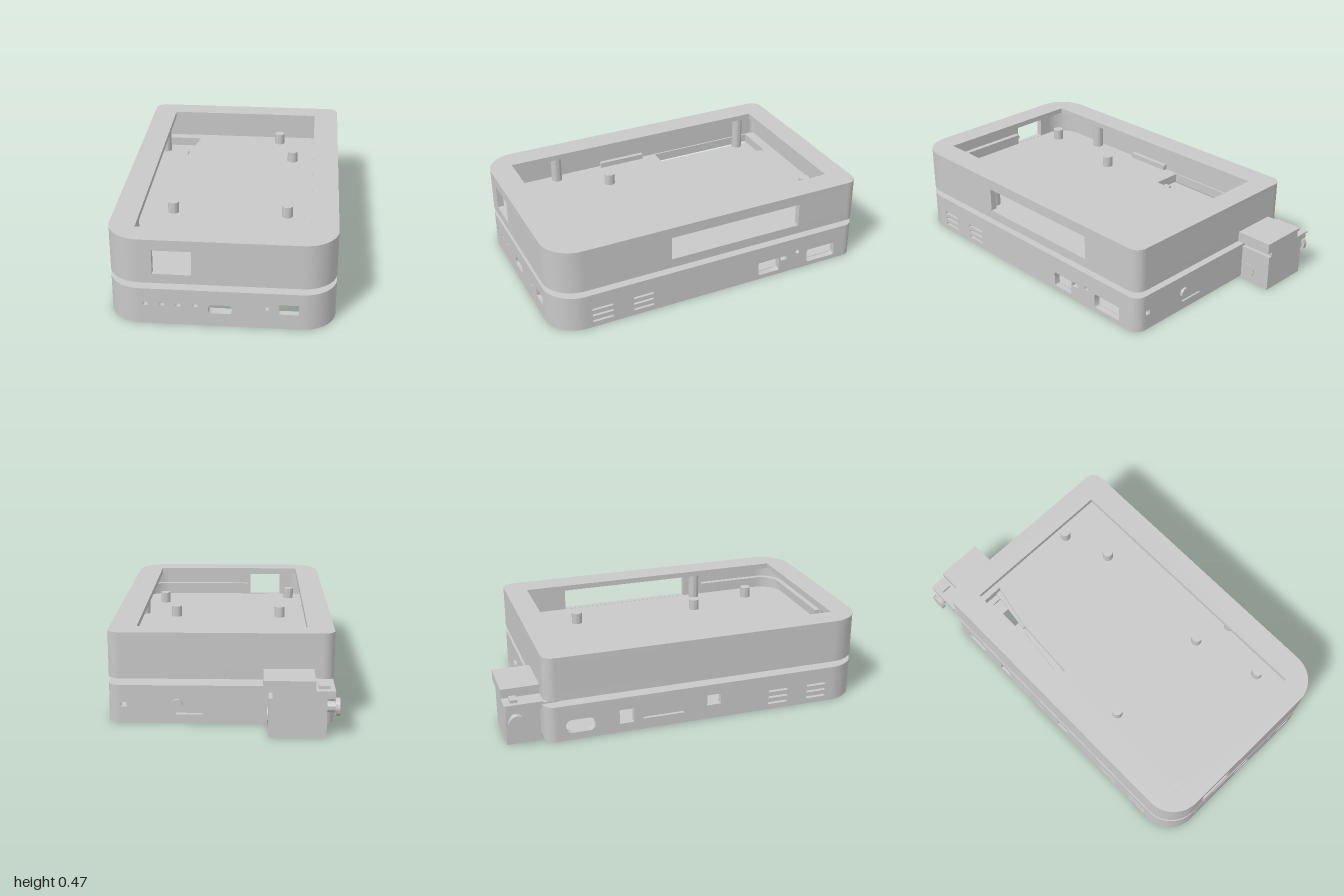
import * as THREE from 'three';
import { toCreasedNormals } from 'three/addons/utils/BufferGeometryUtils.js';

const X0 = -0.565, X1 = 0.58, Z0 = -0.795, Z1 = 1; // case outline
const RF = 0.17, RB = 0.06, T = 0.035;             // front and back corner radii, wall thickness

export function createModel() {
  const model = new THREE.Group();
  model.name = 'deviceCase';
  const grey = new THREE.MeshStandardMaterial({ color: 0xc8c8c8 });
  grey.name = 'plain grey';

  const add = (parent, name, geo) => {
    const m = new THREE.Mesh(geo, grey);
    m.name = name;
    parent.add(m);
    return m;
  };
  const box = (parent, name, x0, x1, y0, y1, z0, z1) => {
    const m = add(parent, name, new THREE.BoxGeometry(x1 - x0, y1 - y0, z1 - z0));
    m.position.set((x0 + x1) / 2, (y0 + y1) / 2, (z0 + z1) / 2);
    return m;
  };
  const post = (parent, name, x, z, y0, y1, r = 0.03) => {
    const m = add(parent, name, toCreasedNormals(new THREE.CylinderGeometry(r, r, y1 - y0, 28), 0.6));
    m.position.set(x, (y0 + y1) / 2, z);
    return m;
  };
  // round part lying along x or z
  const disc = (parent, name, axis, r, len, x, y, z) => {
    const m = post(parent, name, x, z, y - len / 2, y + len / 2, r);
    if (axis === 'x') m.rotation.z = Math.PI / 2; else m.rotation.x = Math.PI / 2;
    return m;
  };

  // rectangle with separate radii at the high and low end of its second axis
  function rounded(C, x0, x1, y0, y1, rHigh, rLow = rHigh) {
    const s = new C(), q = Math.PI / 2;
    s.moveTo(x0 + rLow, y0);
    s.lineTo(x1 - rLow, y0);
    if (rLow) s.absarc(x1 - rLow, y0 + rLow, rLow, -q, 0, false);
    s.lineTo(x1, y1 - rHigh);
    if (rHigh) s.absarc(x1 - rHigh, y1 - rHigh, rHigh, 0, q, false);
    s.lineTo(x0 + rHigh, y1);
    if (rHigh) s.absarc(x0 + rHigh, y1 - rHigh, rHigh, q, 2 * q, false);
    s.lineTo(x0, y0 + rLow);
    if (rLow) s.absarc(x0 + rLow, y0 + rLow, rLow, 2 * q, 3 * q, false);
    return s;
  }
  const poly = (C, pts) => new C(pts.map(([x, y]) => new THREE.Vector2(x, y)));
  const circle = (x, y, r) => new THREE.Path().absarc(x, y, r, 0, Math.PI * 2, false);
  const extrude = (shape, depth) => toCreasedNormals(
    new THREE.ExtrudeGeometry(shape, { depth, bevelEnabled: false, curveSegments: 16 }), 0.6);

  // horizontal plate drawn in x and z
  function slab(parent, name, shape, y0, y1, holes = []) {
    shape.holes.push(...holes);
    const m = add(parent, name, extrude(shape, y1 - y0));
    m.rotation.x = Math.PI / 2;
    m.position.y = y1;
    return m;
  }
  // four pierced walls and four rounded corners
  function walls(parent, y0, y1, cut) {
    const wall = (name, u0, u1, holes = []) => {
      const s = rounded(THREE.Shape, u0, u1, y0, y1, 0);
      for (const [a, b, c, d, r = 0] of holes) s.holes.push(rounded(THREE.Path, a, b, c, d, r));
      return add(parent, name, extrude(s, T));
    };
    wall('frontWall', X0 + RF, X1 - RF, cut.front).position.z = Z1 - T;
    wall('backWall', X0 + RB, X1 - RB, cut.back).position.z = Z0;
    for (const [name, x, holes] of [['leftWall', X1, cut.left], ['rightWall', X0 + T, cut.right]]) {
      const m = wall(name, Z0 + RB, Z1 - RF, holes);
      m.rotation.y = -Math.PI / 2;
      m.position.x = x;
    }
    const q = Math.PI / 2;
    for (const [x, z, r, a] of [[X1 - RF, Z1 - RF, RF, 0], [X0 + RF, Z1 - RF, RF, q],
      [X0 + RB, Z0 + RB, RB, 2 * q], [X1 - RB, Z0 + RB, RB, 3 * q]]) {
      const s = new THREE.Shape();
      s.absarc(x, z, r, a, a + q, false);
      s.absarc(x, z, r - T, a + q, a, true);
      slab(parent, 'corner', s, y0, y1);
    }
  }
  const outline = () => rounded(THREE.Shape, X0, X1, Z0, Z1, RF, RB);

  // lower tray
  const tray = new THREE.Group();
  tray.name = 'lowerTray';
  model.add(tray);
  const vents = [];
  for (const z of [0.45, 0.68]) for (const y of [0.03, 0.066, 0.102]) vents.push([z, z + 0.115, y, y + 0.012]);
  walls(tray, 0.015, 0.185, {
    front: [...[-0.37, -0.287, -0.205, -0.12, 0.235].map(x => [x - 0.012, x + 0.012, 0.104, 0.121, 0.007]),
      [-0.055, 0.065, 0.072, 0.12, 0.02], [0.3, 0.395, 0.083, 0.137]],
    back: [[0.485, 0.515, 0.085, 0.11], [0.1, 0.24, 0.045, 0.055]],
    left: [...vents, [-0.31, -0.18, 0.025, 0.105, 0.008], [-0.36, -0.32, 0.082, 0.105],
      [-0.44, -0.415, 0.1, 0.122, 0.01], [-0.67, -0.49, 0.025, 0.105, 0.012]],
    right: [...vents, [-0.69, -0.53, 0.04, 0.115, 0.035], [-0.4, -0.32, 0.05, 0.13],
      [-0.27, -0.04, 0.06, 0.07], [0.09, 0.17, 0.08, 0.14]],
  });
  // lid with a small opening under the floor slot
  slab(tray, 'trayLid', outline(), 0.185, 0.2, [rounded(THREE.Path, -0.36, -0.3, -0.68, -0.49, 0)]);
  // base with the front bay, a recess and screw holes
  const bay = rounded(THREE.Path, X0 + T, X1 - T, 0.37, 0.86, 0);
  const recess = poly(THREE.Path, [[0.42, 0.2], [0.42, -0.62], [-0.2, -0.62], [-0.2, -0.66],
    [-0.37, -0.66], [-0.37, -0.3], [-0.32, -0.3], [-0.32, 0.2]]);
  const screws = [[-0.5, -0.73], [0.51, -0.73], [-0.4, 0.92], [0.42, 0.92]].map(([x, z]) => circle(x, z, 0.015));
  slab(tray, 'base', outline(), 0, 0.015, [bay, recess, ...screws]);
  slab(tray, 'recessPanel', rounded(THREE.Shape, X0 + T, X1 - T, Z0 + T, 0.37, 0), 0.015, 0.028,
    [poly(THREE.Path, [[-0.2, -0.62], [-0.2, -0.4], [-0.28, -0.27], [-0.36, -0.3], [-0.36, -0.66], [-0.24, -0.66]])]);
  post(tray, 'bayPost', -0.44, 0.8, 0.015, 0.08, 0.035);
  disc(tray, 'backButton', 'z', 0.028, 0.05, 0.23, 0.1, Z0 + 0.01);

  // upper shell
  const shell = new THREE.Group();
  shell.name = 'upperShell';
  model.add(shell);
  walls(shell, 0.285, 0.445, {
    front: [[-0.33, -0.135, 0.286, 0.417]],
    left: [[-0.42, 0.345, 0.286, 0.417]],
  });
  slab(shell, 'topFrame', outline(), 0.445, 0.475, [rounded(THREE.Path, -0.43, 0.44, -0.67, 0.87, 0)]);
  slab(shell, 'shellFloor', outline(), 0.235, 0.285, [poly(THREE.Path, [[-0.28, -0.7], [-0.335, -0.43],
    [-0.355, -0.06], [-0.52, -0.06], [-0.52, -0.7]])]);
  // short pegs on the floor
  for (const [x, z] of [[0.315, -0.405], [-0.315, 0.325], [0.31, 0.33], [0.41, 0.71], [-0.385, 0.855], [0.225, -0.675]])
    post(shell, 'boardPeg', x, z, 0.285, 0.348);
  // tall posts beside the walls, under the frame
  for (const [x, z] of [[0.51, 0.4], [-0.49, 0.59]]) post(shell, 'screwPost', x, z, 0.285, 0.445);
  post(shell, 'screwPost', -0.49, -0.62, 0.235, 0.445);
  // inner rail around the front left corner
  const rail = new THREE.Shape();
  rail.moveTo(-0.12, Z1 - T);
  rail.lineTo(X1 - RF, Z1 - T);
  rail.absarc(X1 - RF, Z1 - RF, RF - T, Math.PI / 2, 0, true);
  rail.lineTo(X1 - T, 0.46);
  rail.lineTo(X1 - T - 0.03, 0.46);
  rail.absarc(X1 - RF, Z1 - RF, RF - T - 0.03, 0, Math.PI / 2, false);
  rail.lineTo(-0.12, Z1 - T - 0.03);
  slab(shell, 'frontRail', rail, 0.335, 0.36);
  box(shell, 'sideRail', X0 + T, -0.505, 0.285, 0.315, 0.03, 0.3);
  // sunken ledge along the floor slot, in two offset lengths
  slab(shell, 'slotLedge', poly(THREE.Shape, [[-0.31, -0.7], [-0.275, -0.7], [-0.32, -0.43], [-0.345, -0.43]]), 0.235, 0.25);
  slab(shell, 'slotLedge', poly(THREE.Shape, [[-0.355, -0.4], [-0.32, -0.43], [-0.35, -0.13], [-0.36, -0.05],
    [-0.43, -0.06], [-0.43, -0.1], [-0.39, -0.1]]), 0.235, 0.25);

  // latch block at the back
  const latch = new THREE.Group();
  latch.name = 'backLatch';
  model.add(latch);
  box(latch, 'latchBody', -0.515, -0.23, 0, 0.2, -0.99, -0.81);
  box(latch, 'latchNeck', -0.555, -0.25, 0.2, 0.226, -0.99, -0.81);
  box(latch, 'latchFlange', -0.555, -0.25, 0.226, 0.235, -0.99, -0.72);
  box(latch, 'latchCap', -0.46, -0.205, 0.235, 0.292, -1, -0.797);
  box(latch, 'latchSidePlate', -0.555, -0.46, 0.235, 0.242, -1, -0.797);
  box(latch, 'latchClip', -0.53, -0.475, 0.242, 0.258, -0.965, -0.925);
  disc(latch, 'pivotPin', 'x', 0.04, 0.01, -0.23, 0.07, -0.855);
  disc(latch, 'latchShaft', 'x', 0.028, 0.06, -0.53, 0.145, -0.94);
  disc(latch, 'latchKnob', 'x', 0.045, 0.022, -0.569, 0.145, -0.94);
  return model;
}
